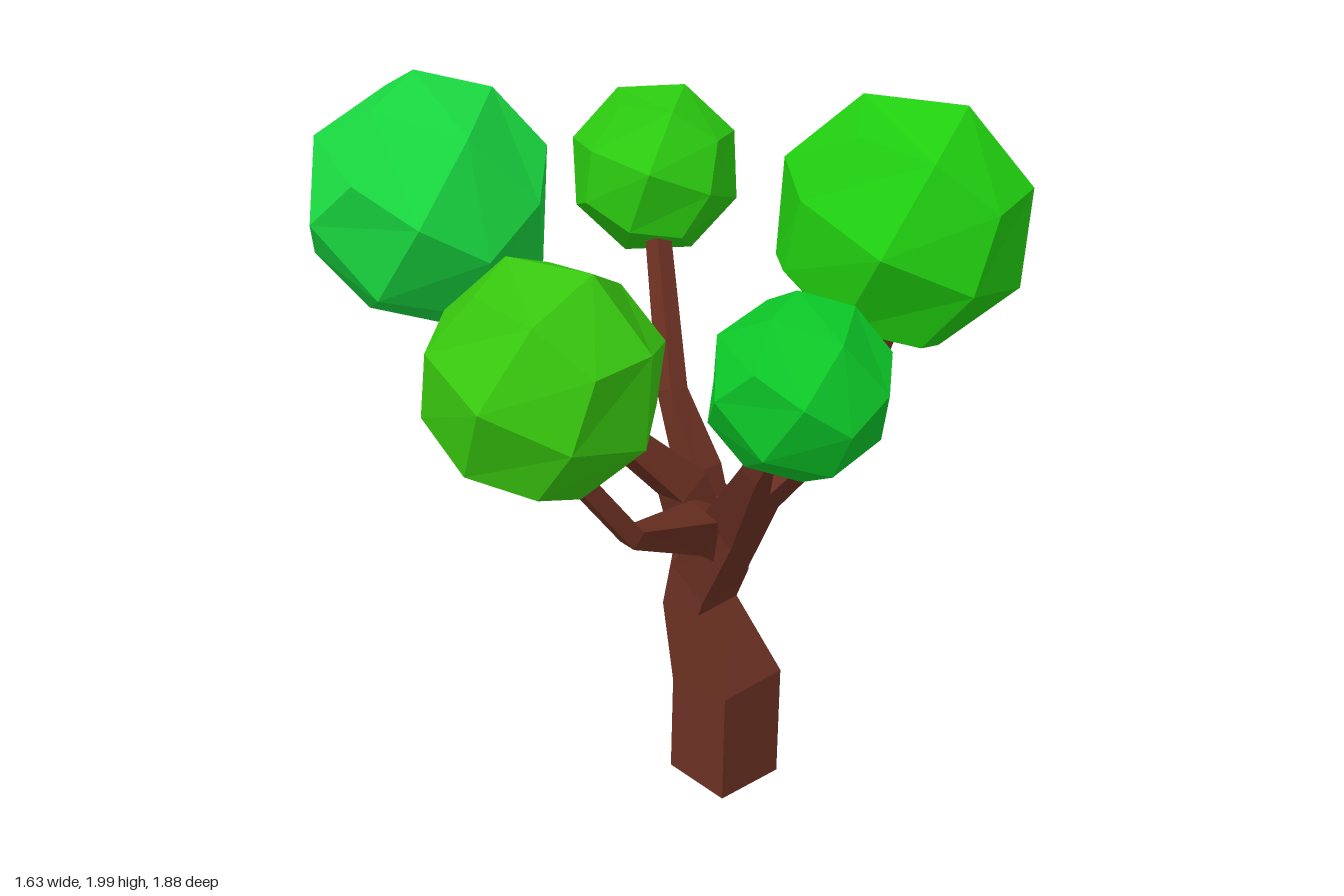
import * as THREE from 'three';

const bark = new THREE.MeshStandardMaterial({ color: 0x6b3022, flatShading: true });

// Four-sided tapering limb through [x, y, z, radius] points
function limb(name, points, turn) {
  const centres = points.map(([x, y, z]) => new THREE.Vector3(x, y, z));
  const up = new THREE.Vector3(0, 1, 0);
  const rings = centres.map((c, i) => {
    const before = centres[Math.max(i - 1, 0)];
    const after = centres[Math.min(i + 1, centres.length - 1)];
    const dir = after.clone().sub(before).normalize();
    const tilt = new THREE.Quaternion().setFromUnitVectors(up, dir);
    return [0, 1, 2, 3].map((k) => {
      const a = turn + (k * Math.PI) / 2;
      return new THREE.Vector3(Math.sin(a), 0, Math.cos(a))
        .multiplyScalar(points[i][3]).applyQuaternion(tilt).add(c);
    });
  });
  const corners = [];
  const quad = (a, b, c, d) => corners.push(a, b, c, a, c, d);
  for (let i = 0; i < rings.length - 1; i++) {
    for (let k = 0; k < 4; k++) {
      const n = (k + 1) % 4;
      quad(rings[i][k], rings[i][n], rings[i + 1][n], rings[i + 1][k]);
    }
  }
  const first = rings[0], last = rings[rings.length - 1];
  quad(first[3], first[2], first[1], first[0]);
  quad(last[0], last[1], last[2], last[3]);
  const geo = new THREE.BufferGeometry().setFromPoints(corners);
  geo.computeVertexNormals();
  const mesh = new THREE.Mesh(geo, bark);
  mesh.name = name;
  return mesh;
}

// Leaf ball: a cube of 2 x 2 quads per side pushed out to a sphere
function leafBall(name, centre, radius, color, rotation) {
  const geo = new THREE.BoxGeometry(2, 2, 2, 2, 2, 2);
  const pos = geo.attributes.position;
  const v = new THREE.Vector3();
  for (let i = 0; i < pos.count; i++) {
    v.fromBufferAttribute(pos, i).setLength(radius);
    pos.setXYZ(i, v.x, v.y, v.z);
  }
  geo.computeVertexNormals();
  const mesh = new THREE.Mesh(geo, new THREE.MeshStandardMaterial({ color, flatShading: true }));
  mesh.name = name;
  mesh.position.set(...centre);
  mesh.rotation.set(...rotation);
  return mesh;
}

export function createModel() {
  const tree = new THREE.Group();
  tree.name = 'tree';

  // Bent trunk, upright at the foot
  tree.add(limb('trunk', [
    [0.19, 0, 0.285, 0.154], [0.19, 0.32, 0.285, 0.154], [0.185, 0.54, 0.19, 0.105],
    [0.18, 0.67, 0.225, 0.108], [0.18, 0.88, 0.25, 0.1],
  ], 0.56));

  // Branches fanning out of the fork, each with one elbow
  const branches = {
    frontLeftBranch: [[0.19, 0.66, 0.23, 0.09], [0.24, 0.9, 0.33, 0.075], [0.325, 1.15, 0.55, 0.04], [0.52, 1.45, 0.57, 0.036]],
    frontRightBranch: [[0.17, 0.64, 0.22, 0.1], [0.1, 0.88, 0.35, 0.085], [-0.1, 1.17, 0.54, 0.042], [-0.18, 1.4, 0.68, 0.036]],
    rightBranch: [[0.18, 0.78, 0.26, 0.1], [0.02, 0.87, 0.28, 0.075], [-0.31, 1.0, 0.31, 0.036], [-0.5, 1.28, 0.21, 0.034]],
    backRightBranch: [[0.18, 0.68, 0.22, 0.09], [0.1, 0.94, 0.18, 0.075], [-0.15, 1.22, 0.03, 0.042], [-0.04, 1.49, -0.4, 0.036]],
    backLeftBranch: [[0.18, 0.68, 0.22, 0.09], [0.19, 0.95, 0.17, 0.065], [0.205, 1.15, 0.07, 0.042], [0.4, 1.49, -0.12, 0.036]],
  };
  for (const [name, path] of Object.entries(branches)) tree.add(limb(name, path, 0.56));

  // Leaf balls at the branch tips
  tree.add(
    leafBall('frontLeftLeaves', [0.485, 1.665, 0.585], 0.346, 0x20d010, [0.45, 0.3, -0.2]),
    leafBall('backRightLeaves', [-0.005, 1.615, -0.598], 0.354, 0x19d840, [0.6, 0.5, 0.35]),
    leafBall('rightLeaves', [-0.525, 1.485, 0.205], 0.302, 0x38c80f, [0.4, 0.1, -0.15]),
    leafBall('frontRightLeaves', [-0.205, 1.485, 0.712], 0.23, 0x0cc828, [0.6, 0.4, 0.3]),
    leafBall('backLeftLeaves', [0.485, 1.655, -0.195], 0.243, 0x2bcb10, [0.35, 0.45, -0.4]),
  );
  return tree;
}
